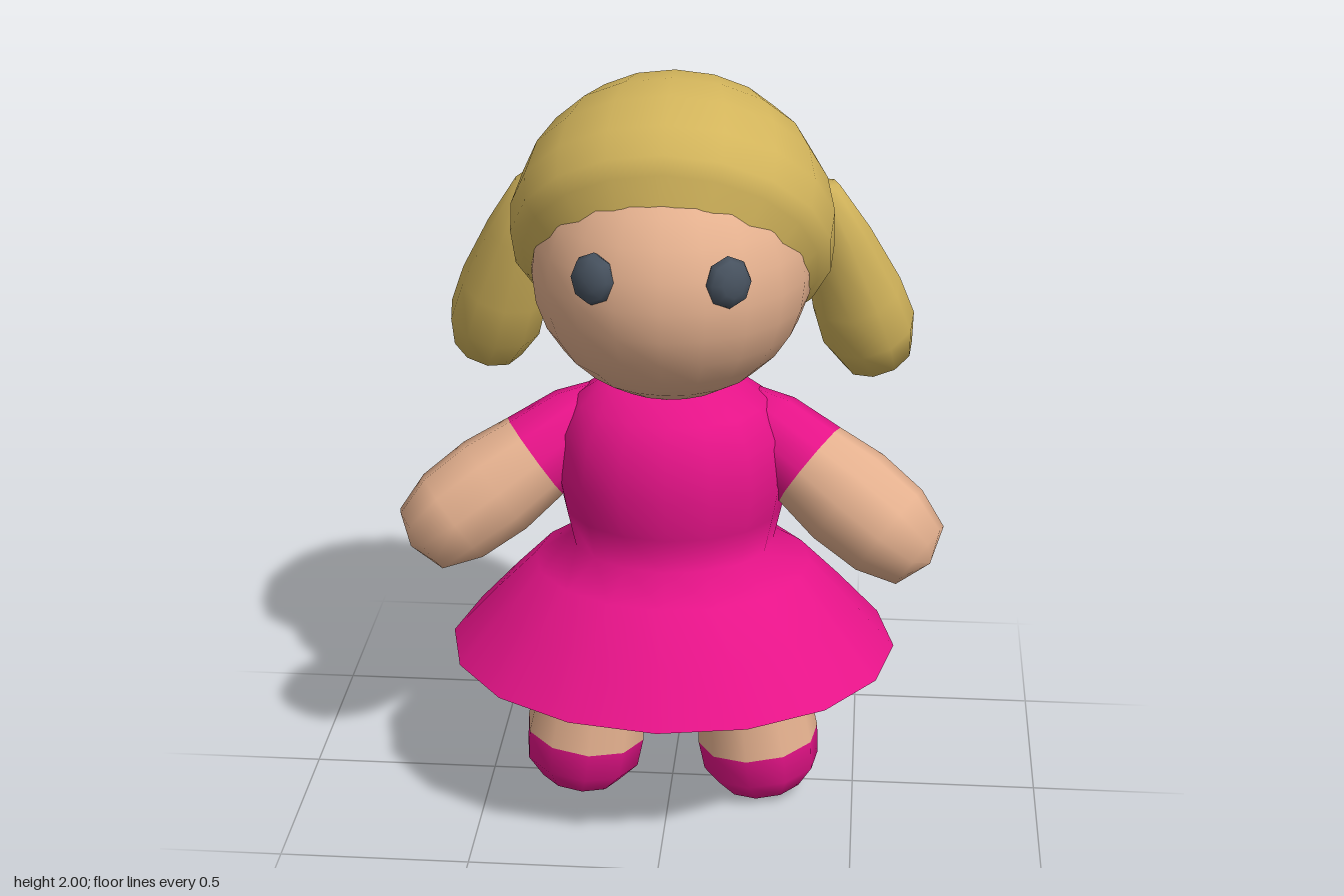
import * as THREE from 'three';

const mat = (name, color) => {
  const m = new THREE.MeshStandardMaterial({ color });
  m.name = name;
  return m;
};

export function createModel() {
  const doll = new THREE.Group();
  doll.name = 'doll';
  const skin = mat('skin', 0xe5b18f);
  const hair = mat('blonde hair', 0xd2b45b);
  const pink = mat('pink cloth', 0xec148c);
  const blue = mat('blue lining', 0x0054c8);
  const dark = mat('dark eye', 0x47525f);

  const add = (name, geometry, material) => {
    const mesh = new THREE.Mesh(geometry, material);
    mesh.name = name;
    doll.add(mesh);
    return mesh;
  };
  const lathe = (pts, sides) =>
    new THREE.LatheGeometry(pts.map(([r, y]) => new THREE.Vector2(r, y)), sides);

  // Rounded limb along a line; profile rows are [fraction along line, radius]
  const limb = (name, from, to, profile, material, sides = 10) => {
    const a = new THREE.Vector3(...from);
    const dir = new THREE.Vector3(...to).sub(a);
    const len = dir.length();
    const mesh = add(name, lathe(profile.map(([t, r]) => [r, t * len]), sides), material);
    mesh.position.copy(a);
    mesh.quaternion.setFromUnitVectors(new THREE.Vector3(0, 1, 0), dir.normalize());
  };

  // Dress: bodice flowing into a flared skirt, with a blue underside
  const dress = lathe([
    [0.6, 0.43], [0.48, 0.562], [0.37, 0.675], [0.27, 0.74], [0.292, 0.84], [0.312, 0.95],
    [0.295, 1.06], [0.25, 1.14], [0.17, 1.2], [0, 1.215],
  ], 16);
  add('dress', dress.scale(1, 1, 0.895), pink);
  add('skirtUnderside', lathe([[0, 0.36], [0.45, 0.36], [0.6, 0.43]], 16).scale(1, 1, 0.895), blue);

  // Head
  const face = new THREE.SphereGeometry(1, 20, 14).scale(0.362, 0.345, 0.402);
  add('face', face, skin).position.set(0, 1.522, 0.03);

  // Hair cap: a tilted dome whose rim curls in to the face
  const dome = [[114.5, 0.85], [104, 0.93], [98, 0.99], [86, 1], [71, 1], [57, 1], [43, 1], [28, 1], [14, 1], [0, 1]]
    .map(([deg, r]) => {
      const t = THREE.MathUtils.degToRad(deg);
      return [r * Math.sin(t), r * Math.cos(t)];
    });
  const cap = lathe(dome, 18).rotateX(-0.94).scale(0.42, 0.412, 0.43);
  add('hairCap', cap, hair).position.y = 1.59;

  for (const [side, s] of [['left', 1], ['right', -1]]) {
    // Domed eye
    const eyeShape = new THREE.SphereGeometry(1, 8, 6).rotateX(Math.PI / 2).scale(0.06, 0.066, 0.038);
    const eye = add(side + 'Eye', eyeShape, dark);
    eye.position.set(s * 0.165, 1.592, 0.377);
    eye.rotation.set(-0.1, s * 0.48, 0, 'YXZ');

    // Bunch of hair
    limb(side + 'Pigtail', [s * 0.37, 1.68, -0.13], [s * 0.545, 1.115, -0.335], [
      [0, 0], [0.02, 0.05], [0.28, 0.09], [0.58, 0.122], [0.78, 0.128], [0.93, 0.098], [1, 0],
    ], hair);

    // Sleeve and arm
    const shoulder = [s * 0.14, 1.12, -0.06], hand = [s * 0.685, 0.745, 0.14];
    limb(side + 'Sleeve', shoulder, hand, [[0, 0], [0.05, 0.07], [0.2, 0.11], [0.41, 0.126]], pink);
    limb(side + 'Arm', shoulder, hand, [
      [0.41, 0.126], [0.6, 0.143], [0.8, 0.136], [0.95, 0.098], [1, 0],
    ], skin);

    // Leg and shoe
    const hip = [s * 0.19, 0.55, 0.03], foot = [s * 0.257, 0.003, 0.035];
    limb(side + 'Leg', hip, foot, [[0, 0.125], [0.35, 0.145], [0.71, 0.165]], skin);
    limb(side + 'Shoe', hip, foot, [[0.71, 0.165], [0.86, 0.158], [0.97, 0.11], [1, 0]], pink);
  }
  return doll;
}
